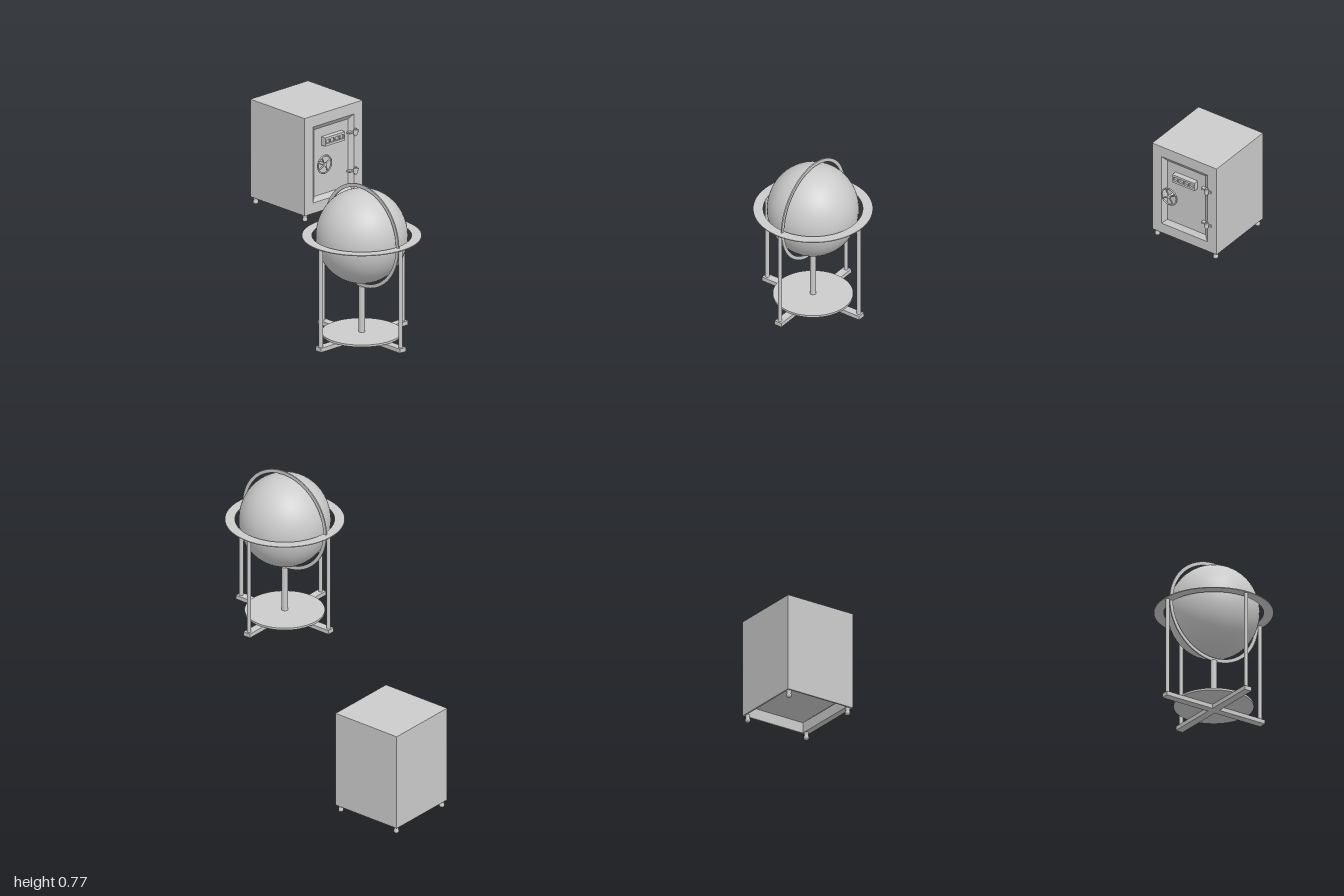
import * as THREE from 'three';

const grey = new THREE.MeshStandardMaterial({ color: 0xcccccc });
const greyDouble = new THREE.MeshStandardMaterial({ color: 0xcccccc, side: THREE.DoubleSide });
const greyFlat = new THREE.MeshStandardMaterial({ color: 0xcccccc, side: THREE.DoubleSide, flatShading: true });

function add(parent, name, geometry, x = 0, y = 0, z = 0, material = grey) {
  const mesh = new THREE.Mesh(geometry, material);
  mesh.name = name;
  mesh.position.set(x, y, z);
  parent.add(mesh);
  return mesh;
}

const box = (w, h, d) => new THREE.BoxGeometry(w, h, d);
const rod = (r, h, sides = 20) => new THREE.CylinderGeometry(r, r, h, sides);

// Flat ring in the XY plane, centred on its thickness
function flatRing(outer, inner, thickness) {
  const shape = new THREE.Shape().absarc(0, 0, outer, 0, Math.PI * 2);
  shape.holes.push(new THREE.Path().absarc(0, 0, inner, 0, Math.PI * 2, true));
  return new THREE.ExtrudeGeometry(shape, { depth: thickness, bevelEnabled: false, curveSegments: 64 })
    .translate(0, 0, -thickness / 2);
}

// Rectangular plate with rectangular holes given as [x, y, w, h] centres and sizes
function framePlate(w, h, depth, holes) {
  const shape = new THREE.Shape();
  shape.moveTo(-w / 2, -h / 2).lineTo(w / 2, -h / 2).lineTo(w / 2, h / 2).lineTo(-w / 2, h / 2).closePath();
  for (const [x, y, a, b] of holes) {
    const hole = new THREE.Path();
    hole.moveTo(x - a / 2, y - b / 2).lineTo(x - a / 2, y + b / 2).lineTo(x + a / 2, y + b / 2).lineTo(x + a / 2, y - b / 2).closePath();
    shape.holes.push(hole);
  }
  return new THREE.ExtrudeGeometry(shape, { depth, bevelEnabled: false });
}

// Sloping border from a large rectangle at z = 0 to a smaller one set back
function slopedBorder(w, h, inset, depth) {
  const loop = (a, b, z) => [[-a, -b, z], [a, -b, z], [a, b, z], [-a, b, z]];
  const front = loop(w / 2, h / 2, 0);
  const back = loop(w / 2 - inset, h / 2 - inset, -depth);
  const points = [];
  for (let i = 0; i < 4; i++) {
    const j = (i + 1) % 4;
    for (const p of [front[i], front[j], back[j], front[i], back[j], back[i]]) points.push(...p);
  }
  const geometry = new THREE.BufferGeometry();
  geometry.setAttribute('position', new THREE.Float32BufferAttribute(points, 3));
  geometry.computeVertexNormals();
  return geometry;
}

function createGlobe() {
  const globe = new THREE.Group();
  globe.name = 'floorGlobe';
  globe.position.set(-0.511, 0, 0.726);
  const centreY = 0.526;

  // Ball, slightly taller than wide
  add(globe, 'ball', new THREE.SphereGeometry(0.211, 48, 32), 0, centreY).scale.y = 1.05;

  // Horizon and meridian rings
  add(globe, 'horizonRing', flatRing(0.274, 0.228, 0.004), 0, centreY).rotation.x = -Math.PI / 2;
  add(globe, 'meridianRing', flatRing(0.247, 0.23, 0.006), 0, centreY).rotation.y = Math.PI / 2;

  // Four outer legs standing on the ends of crossed beams
  for (let i = 0; i < 4; i++) {
    const a = i * Math.PI / 2;
    add(globe, 'leg', rod(0.0095, 0.476), Math.cos(a) * 0.258, 0.288, Math.sin(a) * 0.258);
  }
  add(globe, 'baseBeam', box(0.548, 0.02, 0.038), 0, 0.04);
  add(globe, 'baseBeam', box(0.038, 0.02, 0.548), 0, 0.04);

  // Base disc and central column
  add(globe, 'baseDisc', rod(0.184, 0.01, 64), 0, 0.055);
  add(globe, 'column', rod(0.0145, 0.222), 0, 0.171);
  return globe;
}

function createSafe() {
  const safe = new THREE.Group();
  safe.name = 'safe';
  safe.position.set(0.6, 0, -0.819);
  const w = 0.363, h = 0.474, d = 0.362, midY = 0.27, front = d / 2;
  const wall = 0.008, frontDepth = 0.03;

  // Walls, top and raised floor
  for (const s of [-1, 1]) add(safe, 'sideWall', box(wall, h, d - frontDepth), s * (w - wall) / 2, midY, -frontDepth / 2);
  add(safe, 'backWall', box(w - 2 * wall, h, wall), 0, midY, -(d - wall) / 2);
  add(safe, 'top', box(w - 2 * wall, wall, d - frontDepth - wall), 0, midY + (h - wall) / 2, (wall - frontDepth) / 2);
  add(safe, 'floor', box(w - 2 * wall, wall, d - frontDepth - wall), 0, 0.089, (wall - frontDepth) / 2);

  // Front frame and recessed door
  const doorW = 0.258, doorH = 0.369, doorY = 0.2685;
  add(safe, 'frontFrame', framePlate(w, h, frontDepth, [[0, doorY - midY, doorW, doorH]]), 0, midY, front - frontDepth);
  add(safe, 'doorBorder', slopedBorder(doorW, doorH, 0.022, 0.016), 0, doorY, front, greyFlat);
  add(safe, 'doorPanel', box(doorW - 0.044, doorH - 0.044, 0.013), 0, doorY, front - 0.0225);

  // Number display with four windows
  const windows = [-1.5, -0.5, 0.5, 1.5].map((i) => [i * 0.029, 0, 0.023, 0.02]);
  add(safe, 'displayFrame', framePlate(0.125, 0.042, 0.026, windows), 0.001, 0.365, front - 0.016);
  add(safe, 'displayBack', box(0.121, 0.038, 0.017), 0.001, 0.365, front - 0.0075);

  // Handwheel with two crossing spokes
  const wheel = new THREE.Group();
  wheel.name = 'handwheel';
  wheel.position.set(-0.073, 0.263, front + 0.018);
  safe.add(wheel);
  add(wheel, 'rim', new THREE.TorusGeometry(0.042, 0.004, 10, 40));
  for (const turn of [0.5, 0.5 + Math.PI / 2]) add(wheel, 'spoke', rod(0.0035, 0.084, 10)).rotation.z = turn;
  add(wheel, 'hub', rod(0.009, 0.01)).rotation.x = Math.PI / 2;
  add(wheel, 'shaft', rod(0.006, 0.034), 0, 0, -0.017).rotation.x = Math.PI / 2;

  // Hinges
  for (const y of [0.367, 0.18]) {
    add(safe, 'hingeBarrel', rod(0.009, 0.026, 16), 0.13, y, front + 0.008);
    add(safe, 'hingePin', rod(0.005, 0.036, 12), 0.13, y, front + 0.008);
    add(safe, 'hingeDoorStrap', box(0.03, 0.007, 0.018), 0.111, y, front - 0.005);
    add(safe, 'hingeFrameStrap', box(0.02, 0.01, 0.006), 0.143, y, front + 0.003);
  }

  // Turned feet
  const profile = [[0, 0], [0.009, 0], [0.012, 0.005], [0.012, 0.014], [0.008, 0.02], [0.011, 0.024], [0.011, 0.035], [0, 0.035]]
    .map(([r, y]) => new THREE.Vector2(r, y));
  for (const x of [-1, 1]) for (const z of [-1, 1]) {
    add(safe, 'foot', new THREE.LatheGeometry(profile, 20), x * 0.164, 0, z * 0.164, greyDouble);
  }
  return safe;
}

export function createModel() {
  const model = new THREE.Group();
  model.name = 'globeAndSafe';
  model.add(createGlobe(), createSafe());
  return model;
}
